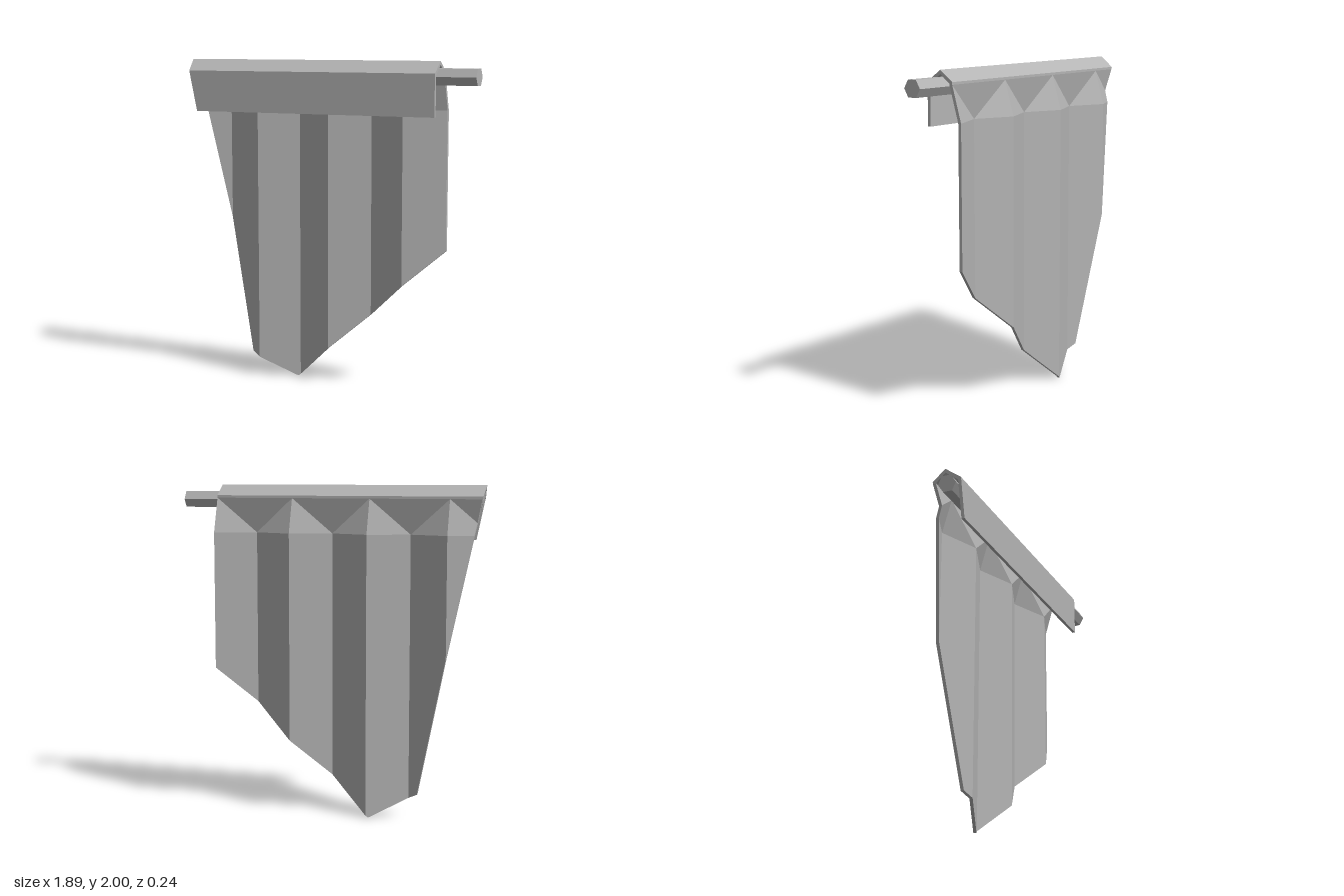
import * as THREE from 'three';

const RIGHT = 0.71, FOLD = 0.2425, FOLDS = 7, THICK = 0.02;
const SHOULDER = 1.71, TOP = 1.92;

// The slanted torn edge on the model's -x side
const cutX = (y, z) => -0.945 + 0.21 * (2 - y) + 0.1 * (z - 0.02);

// Keep the part of a convex polygon where test(point) >= 0
function clip(poly, test) {
  const out = [];
  poly.forEach((a, i) => {
    const b = poly[(i + 1) % poly.length];
    const da = test(a), db = test(b);
    if (da >= 0) out.push(a);
    if (da * db < 0) out.push(a.clone().lerp(b, da / (da - db)));
  });
  return out;
}

// Pleated sheet: folded cells trimmed by the torn edges, then given thickness
function pleatGeometry() {
  const cells = [];
  for (let i = 0; i < FOLDS; i++) {
    const x1 = RIGHT - i * FOLD, x0 = x1 - FOLD;
    const rightIsBack = i % 2 === 0;
    const z1 = rightIsBack ? -0.1 : 0, z0 = rightIsBack ? 0 : -0.1;
    const P = (x, y, z) => new THREE.Vector3(x, y, z);
    const L = P(x0, SHOULDER, z0), R = P(x1, SHOULDER, z1);
    const TL = P(x0, TOP, -0.04), TR = P(x1, TOP, -0.04);
    cells.push([P(x0, -0.1, z0), P(x1, -0.1, z1), R, L]);
    // Gathered top: creases run from the back folds to the front folds
    if (rightIsBack) cells.push([L, R, TR], [L, TR, TL]);
    else cells.push([L, R, TL], [R, TR, TL]);
  }
  const cuts = [
    p => p.x - cutX(p.y, p.z),
    p => p.y - 0.888 * (p.x + 0.275),
    p => p.y + 0.518 * (p.x + 0.275),
  ];
  const polys = cells.map(c => cuts.reduce(clip, c)).filter(c => c.length > 2);

  const pos = [];
  const tri = (...pts) => pts.forEach(p => pos.push(p.x, p.y, p.z));
  const back = p => new THREE.Vector3(p.x, p.y, p.z - THICK);
  const id = p => p.toArray().map(v => Math.round(v * 1e4)).join();
  const edges = new Map();
  for (const poly of polys) {
    for (let k = 1; k < poly.length - 1; k++) {
      const [a, b, c] = [poly[0], poly[k], poly[k + 1]];
      tri(a, b, c);
      tri(back(a), back(c), back(b));
    }
    poly.forEach((a, k) => {
      const b = poly[(k + 1) % poly.length];
      edges.set(id(a) + '|' + id(b), [a, b]);
    });
  }
  // Walls along the outer edges only
  for (const [a, b] of edges.values()) {
    if (edges.has(id(b) + '|' + id(a))) continue;
    tri(a, back(a), back(b));
    tri(a, back(b), b);
  }
  const g = new THREE.BufferGeometry();
  g.setAttribute('position', new THREE.Float32BufferAttribute(pos, 3));
  g.computeVertexNormals();
  return g;
}

// Move the two ends of a bar along x: slanted cut on one side, flat on the other
function setEnds(g, mid, rightEnd) {
  const p = g.attributes.position;
  for (let i = 0; i < p.count; i++) {
    p.setX(i, p.getX(i) < mid ? cutX(p.getY(i), p.getZ(i)) : rightEnd);
  }
  g.computeVertexNormals();
  return g;
}

// Hood folded over the rod, with a flap hanging in front: [z, y] profile
function hoodGeometry() {
  const profile = [
    [-0.06, 1.92], [-0.06, 1.935], [0.025, 2], [0.117, 1.93], [0.117, 1.68],
    [0.098, 1.68], [0.098, 1.918], [0.025, 1.976], [-0.04, 1.925], [-0.04, 1.92],
  ];
  const shape = new THREE.Shape(profile.map(([z, y]) => new THREE.Vector2(-z, y)));
  const g = new THREE.ExtrudeGeometry(shape, { depth: 1, bevelEnabled: false });
  g.rotateY(Math.PI / 2);
  return setEnds(g, 0.5, RIGHT);
}

// Six-sided rod
function rodGeometry() {
  const g = new THREE.CylinderGeometry(0.056, 0.056, 1, 6).toNonIndexed();
  g.rotateZ(Math.PI / 2);
  g.translate(0, 1.91, 0.027);
  return setEnds(g, 0, 0.945);
}

export function createModel() {
  const group = new THREE.Group();
  group.name = 'tornHanging';
  const grey = new THREE.MeshStandardMaterial({ color: 0xb4b4b4 });
  grey.name = 'grey';
  const parts = { pleatedSheet: pleatGeometry(), foldedHood: hoodGeometry(), rod: rodGeometry() };
  for (const [name, geometry] of Object.entries(parts)) {
    const mesh = new THREE.Mesh(geometry, grey);
    mesh.name = name;
    group.add(mesh);
  }
  return group;
}
